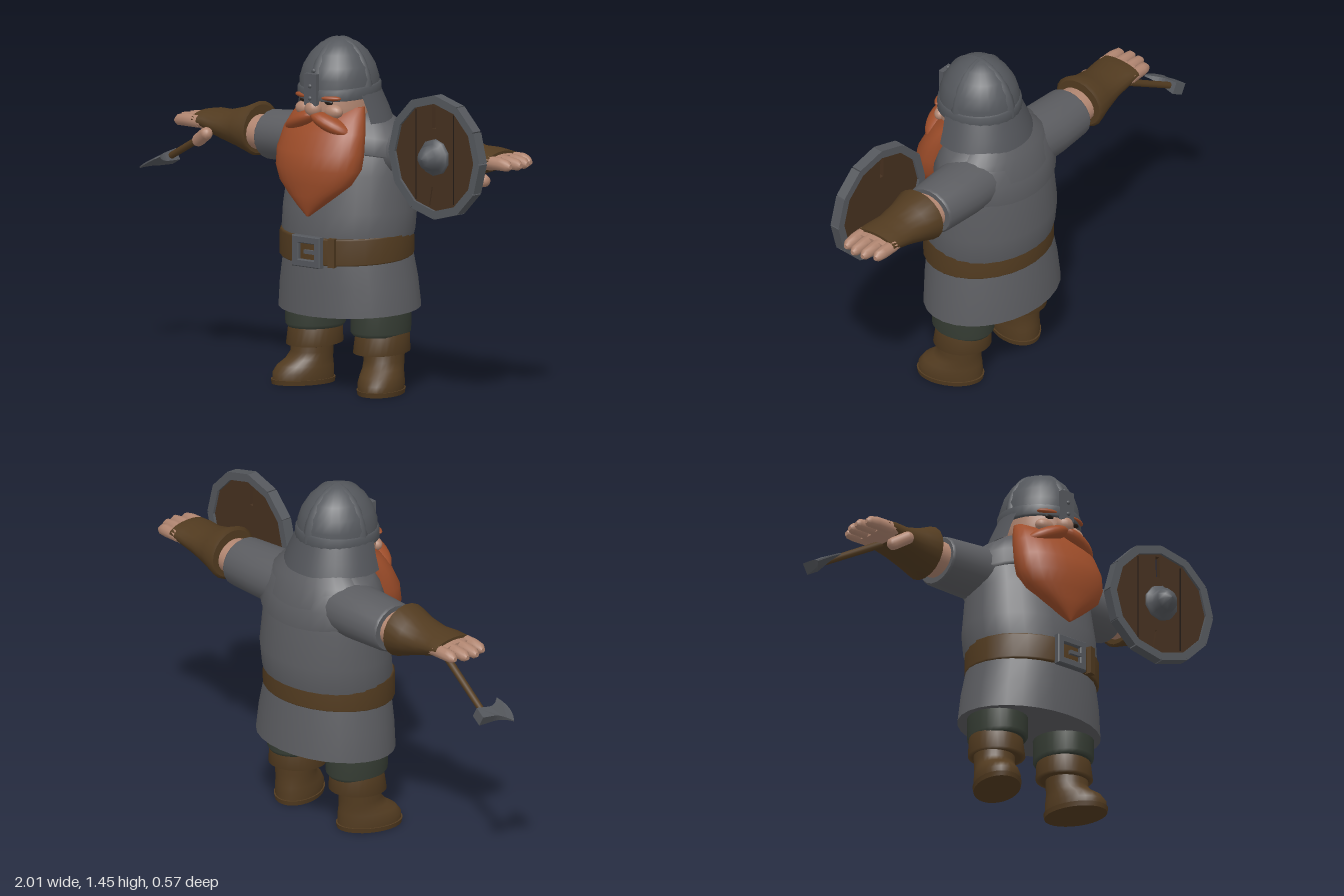
import * as THREE from 'three';

const paint = (name, color, side = THREE.FrontSide) => {
  const m = new THREE.MeshStandardMaterial({ color, side });
  m.name = name;
  return m;
};

// Closed body from oval rings: [y, radiusX, radiusZ, centreZ, centreX]; tilt makes y depend on z.
function loft(rings, { n = 28, tilt = 0, from = 0, to = Math.PI * 2, caps = true } = {}) {
  const pos = [], idx = [], full = to - from > 6.28, cols = full ? n : n + 1;
  const addRing = ([y, rx, rz, cz = 0, cx = 0]) => {
    for (let j = 0; j < cols; j++) {
      const a = from + (to - from) * j / n, z = cz + rz * Math.cos(a);
      pos.push(cx + rx * Math.sin(a), y + tilt * z, z);
    }
  };
  rings.forEach(addRing);
  for (let i = 0; i < rings.length - 1; i++) for (let j = 0; j < n; j++) {
    const k = (j + 1) % cols, a = i * cols + j, b = i * cols + k;
    idx.push(a, b, b + cols, a, b + cols, a + cols);
  }
  if (caps && full) for (const top of [false, true]) {
    const r = top ? rings[rings.length - 1] : rings[0], s = pos.length / 3;
    addRing(r);
    pos.push(r[4] || 0, r[0] + tilt * (r[3] || 0), r[3] || 0);
    for (let j = 0; j < n; j++) {
      const k = (j + 1) % n;
      idx.push(s + n, s + (top ? j : k), s + (top ? k : j));
    }
  }
  const g = new THREE.BufferGeometry();
  g.setAttribute('position', new THREE.Float32BufferAttribute(pos, 3));
  g.setIndex(idx);
  g.computeVertexNormals();
  return g;
}

export function createModel() {
  const cloth = paint('greyCloth', 0x5b5c60), steel = paint('steel', 0x54575c);
  const mail = paint('neckGuardGrey', 0x525459, THREE.DoubleSide);
  const leather = paint('leather', 0x523b20), wood = paint('darkWood', 0x45301f);
  const hair = paint('redHair', 0x9c4c29), skin = paint('skin', 0xb08570);
  const trouser = paint('darkGreenTrousers', 0x363d34), dark = paint('darkDetail', 0x221a15);

  const root = new THREE.Group();
  root.name = 'warrior';
  const body = new THREE.Group();
  body.name = 'body';
  body.position.x = 0.1;
  root.add(body);
  const add = (name, geo, mat, p = [0, 0, 0], parent = body) => {
    const m = new THREE.Mesh(geo, mat);
    m.name = name;
    m.position.set(...p);
    parent.add(m);
    return m;
  };
  const ball = (name, mat, p, s, parent) => {
    const m = add(name, new THREE.SphereGeometry(1, 18, 12), mat, p, parent);
    m.scale.set(...s);
    return m;
  };

  // Tunic, belt and shoulder mantle
  add('tunicSkirt', loft([[0.335, 0.315, 0.253, -0.03], [0.45, 0.303, 0.248, -0.025],
    [0.58, 0.278, 0.236, -0.018], [0.62, 0.27, 0.23, -0.018]], { tilt: -0.07 }), cloth);
  add('tunicChest', loft([[0.6, 0.275, 0.235, -0.018], [0.66, 0.29, 0.245, -0.022], [0.75, 0.293, 0.243, -0.032],
    [0.9, 0.28, 0.218, -0.038], [1.0, 0.27, 0.195, -0.045], [1.09, 0.235, 0.155, -0.05], [1.15, 0.15, 0.1, -0.05]]), cloth);
  add('belt', loft([[0.55, 0.284, 0.246, -0.012], [0.556, 0.289, 0.251, -0.012],
    [0.654, 0.288, 0.251, -0.012], [0.66, 0.282, 0.245, -0.012]], { tilt: -0.06 }), leather);
  add('mantle', loft([[0.965, 0.27, 0.2, -0.045], [0.97, 0.292, 0.217, -0.045], [1.04, 0.278, 0.195, -0.048],
    [1.1, 0.245, 0.168, -0.05], [1.15, 0.17, 0.13, -0.05], [1.17, 0.12, 0.1, -0.05]], { tilt: 0.22 }), cloth);

  // Buckle
  const frame = new THREE.Shape([[-0.07, -0.06], [0.07, -0.06], [0.07, 0.06], [-0.07, 0.06]].map(p => new THREE.Vector2(...p)));
  frame.holes.push(new THREE.Path([[-0.045, -0.037], [-0.045, 0.037], [0.045, 0.037], [0.045, -0.037]].map(p => new THREE.Vector2(...p))));
  add('buckleFrame', new THREE.ExtrudeGeometry(frame, { depth: 0.022, bevelThickness: 0.005, bevelSize: 0.004, bevelSegments: 1 }), steel, [0, 0.59, 0.226]);
  add('bucklePin', new THREE.BoxGeometry(0.07, 0.016, 0.014), steel, [0.025, 0.59, 0.246]);
  add('beltLoop', new THREE.BoxGeometry(0.03, 0.118, 0.03), leather, [0.115, 0.593, 0.222]).rotation.y = 0.35;

  // Head, face and beard
  add('head', loft([[1.05, 0.11, 0.1, 0.03], [1.12, 0.14, 0.14, 0.05], [1.18, 0.147, 0.155, 0.045], [1.27, 0.14, 0.14, 0.04]]), skin);
  ball('nose', skin, [0, 1.175, 0.2], [0.038, 0.036, 0.036]);
  add('beard', loft([[0.735, 0.006, 0.008, 0.235], [0.78, 0.065, 0.04, 0.222], [0.82, 0.115, 0.065, 0.207],
    [0.87, 0.175, 0.092, 0.186], [0.93, 0.205, 0.118, 0.168], [1.0, 0.21, 0.118, 0.155], [1.08, 0.2, 0.1, 0.13],
    [1.14, 0.178, 0.085, 0.1], [1.18, 0.155, 0.06, 0.07]]), hair);
  for (const s of [-1, 1]) {
    ball('moustache', hair, [s * 0.078, 1.115, 0.182], [0.1, 0.034, 0.052]).rotation.set(0, s * 0.3, -s * 0.42);
    ball('cheek', skin, [s * 0.075, 1.165, 0.165], [0.045, 0.03, 0.03]);
    ball('eye', dark, [s * 0.065, 1.203, 0.182], [0.022, 0.01, 0.009]);
    ball('eyebrow', hair, [s * 0.07, 1.222, 0.182], [0.05, 0.012, 0.02]).rotation.y = s * 0.3;
  }

  // Helmet with ridges, nose guard and neck guard
  add('helmetDome', loft([[1.23, 0.158, 0.168, 0.035], [1.29, 0.158, 0.168, 0.035], [1.34, 0.143, 0.152, 0.035],
    [1.39, 0.112, 0.122, 0.035], [1.425, 0.075, 0.082, 0.035], [1.443, 0.035, 0.04, 0.035], [1.448, 0.003, 0.003, 0.035]]), steel);
  add('helmetBand', loft([[1.218, 0.158, 0.168, 0.035], [1.222, 0.168, 0.178, 0.035],
    [1.262, 0.166, 0.176, 0.035], [1.268, 0.156, 0.166, 0.035]], { tilt: -0.06 }), steel);
  for (const [name, turn, w] of [['frontRidge', Math.PI / 2, 0.15], ['sideRidge', 0, 0.137]]) {
    const ridge = add(name, new THREE.TorusGeometry(w, 0.03, 8, 28, Math.PI), steel, [0, 1.235, 0.035]);
    ridge.rotation.y = turn;
    ridge.scale.y = 0.217 / (w + 0.03);
  }
  add('noseGuard', new THREE.BoxGeometry(0.062, 0.13, 0.022), steel, [0, 1.255, 0.213]);
  for (const y of [1.22, 1.27, 1.33]) ball('rivet', steel, [0, y, y > 1.3 ? 0.2 : 0.224], [0.009, 0.009, 0.007]);
  add('neckGuard', loft([[1.115, 0.212, 0.2, 0.015], [1.17, 0.192, 0.187, 0.02], [1.25, 0.16, 0.17, 0.035]],
    { from: 1.25, to: Math.PI * 2 - 1.25 }), mail);

  // Arms and legs, one pass for each side
  for (const s of [-1, 1]) {
    const arm = new THREE.Group();
    arm.name = s > 0 ? 'leftArm' : 'rightArm';
    body.add(arm);
    // Rings run outward along the arm: [distance, halfHeight, halfDepth, centreZ, centreY]
    const limb = (name, mat, rings, n = 20) => {
      const g = loft(rings.map(([d, h, w, z, y]) => [d, h, w, z, -s * y]), { n });
      return add(name, g.rotateZ(-s * Math.PI / 2), mat, [0, 0, 0], arm);
    };
    limb('sleeve', cloth, [[0.12, 0.115, 0.125, -0.07, 0.99], [0.28, 0.108, 0.125, -0.075, 0.99],
      [0.44, 0.102, 0.115, -0.07, 0.985], [0.45, 0.095, 0.108, -0.07, 0.985]]);
    limb('forearm', skin, [[0.42, 0.075, 0.09, -0.065, 0.985], [0.56, 0.07, 0.085, -0.065, 0.99]]);
    limb('bracer', leather, [[0.505, 0.1, 0.11, -0.072, 0.998], [0.512, 0.112, 0.123, -0.072, 1.0],
      [0.58, 0.085, 0.107, -0.068, 0.998], [0.66, 0.062, 0.096, -0.062, 1.0], [0.73, 0.05, 0.098, -0.062, 1.012],
      [0.785, 0.032, 0.098, -0.062, 1.02]]);
    limb('palm', skin, [[0.68, 0.045, 0.09, -0.062, 1.0], [0.76, 0.036, 0.097, -0.062, 1.008], [0.81, 0.025, 0.09, -0.062, 1.012]]);
    for (let i = 0; i < 4; i++) {
      const end = [0.885, 0.9, 0.895, 0.872][i];
      limb('finger', skin, [[0.76, 0.027, 0.026, 0.012 - i * 0.049, 1.012], [0.83, 0.027, 0.025, 0.012 - i * 0.049, 1.012],
        [end - 0.015, 0.023, 0.021, 0.012 - i * 0.048, 1.008], [end, 0.01, 0.01, 0.012 - i * 0.048, 1.005]], 10);
    }
    const thumb = add('thumb', new THREE.CapsuleGeometry(0.027, 0.07, 4, 10), skin, [s * 0.725, 0.955, 0.035], arm);
    thumb.rotation.set(0.5, 0, s * 0.95);

    add('trouserLeg', loft([[0.235, 0.105, 0.125, -0.02], [0.25, 0.116, 0.135, -0.02],
      [0.36, 0.118, 0.135, -0.02], [0.45, 0.115, 0.13, -0.02]]), trouser, [s * 0.172, 0, 0]);
    add('bootCuff', loft([[0.16, 0.095, 0.1, -0.02], [0.165, 0.113, 0.123, -0.02], [0.25, 0.108, 0.113, -0.025],
      [0.255, 0.098, 0.103, -0.025]], { tilt: -0.06 }), leather, [s * 0.177, 0, 0]);
    const boot = new THREE.Group();
    boot.name = s > 0 ? 'leftBoot' : 'rightBoot';
    boot.position.x = s * 0.198;
    boot.rotation.y = s * 0.4;
    body.add(boot);
    add('bootUpper', loft([[0.015, 0.09, 0.134, 0.02], [0.045, 0.093, 0.134, 0.02], [0.075, 0.088, 0.122, 0.01],
      [0.1, 0.084, 0.1, -0.008], [0.13, 0.083, 0.088, -0.02], [0.2, 0.086, 0.088, -0.022]]), leather, [0, 0, 0], boot);
    add('bootSole', loft([[0, 0.092, 0.137, 0.02], [0.02, 0.096, 0.141, 0.02]]), leather, [0, 0, 0], boot);
  }

  // Round shield with narrow gaps between the planks
  const shield = new THREE.Group();
  shield.name = 'shield';
  shield.position.set(0.672, 1.025, 0.1);
  shield.rotation.y = -0.07;
  root.add(shield);
  const disc = new THREE.Shape(Array.from({ length: 12 }, (_, i) =>
    new THREE.Vector2(0.235 * Math.sin(-i * Math.PI / 6), 0.235 * Math.cos(i * Math.PI / 6))));
  const slit = (x, y, w, h, lean) => disc.holes.push(new THREE.Path([[x - w, y - h], [x - w + lean, y + h],
    [x + w + lean, y + h], [x + w, y - h]].map(p => new THREE.Vector2(...p))));
  slit(-0.01, 0.162, 0.01, 0.045, -0.003);
  slit(-0.035, -0.165, 0.003, 0.04, 0.015);
  add('shieldBoard', new THREE.ExtrudeGeometry(disc, { depth: 0.022, bevelEnabled: false }), wood, [0, 0, -0.011], shield);
  for (const x of [-0.11, 0.1]) add('plankSeam', new THREE.BoxGeometry(0.005, 0.37, 0.003), dark, [x, 0, 0.011], shield);
  for (let i = 0; i < 12; i++) {
    const a = (i + 0.5) * Math.PI / 6;
    const bar = add('shieldRim', new THREE.BoxGeometry(0.128, 0.034, 0.045), steel, [0.231 * Math.sin(a), 0.231 * Math.cos(a), 0], shield);
    bar.rotation.z = -a;
  }
  const boss = add('shieldBoss', new THREE.LatheGeometry([[0.075, 0], [0.075, 0.018], [0.055, 0.022], [0.05, 0.055],
    [0.03, 0.078], [0, 0.088]].map(p => new THREE.Vector2(...p)), 10), steel, [0, 0, 0.01], shield);
  boss.rotation.x = Math.PI / 2;

  // Axe: local y runs along the handle, local x towards the cutting edge
  const start = new THREE.Vector3(-0.6, 0.995, -0.065), tip = new THREE.Vector3(-0.955, 0.805, -0.13);
  const along = tip.clone().sub(start), len = along.length();
  along.normalize();
  const edge = new THREE.Vector3(0, 0, 1).addScaledVector(along, -along.z).normalize();
  const axe = new THREE.Group();
  axe.name = 'axe';
  axe.position.copy(tip);
  axe.quaternion.setFromRotationMatrix(new THREE.Matrix4().makeBasis(edge, along, edge.clone().cross(along)));
  root.add(axe);
  add('axeHandle', new THREE.CylinderGeometry(0.014, 0.016, len, 10), leather, [0, -len / 2, 0], axe);
  const blade = new THREE.Shape();
  blade.moveTo(-0.035, -0.03);
  blade.lineTo(0.03, -0.028);
  blade.quadraticCurveTo(0.07, -0.035, 0.1, -0.075);
  blade.quadraticCurveTo(0.145, -0.01, 0.11, 0.055);
  blade.quadraticCurveTo(0.07, 0.022, 0.03, 0.022);
  blade.lineTo(-0.035, 0.024);
  const head = new THREE.ExtrudeGeometry(blade, { depth: 0.05, bevelEnabled: false, curveSegments: 6 }).translate(0, 0, -0.025);
  const hp = head.attributes.position;
  for (let i = 0; i < hp.count; i++) hp.setZ(i, hp.getZ(i) * Math.max(0.12, 1 - Math.max(0, hp.getX(i)) / 0.115));
  head.computeVertexNormals();
  add('axeHead', head, steel, [0, -0.012, 0], axe);

  return root;
}
